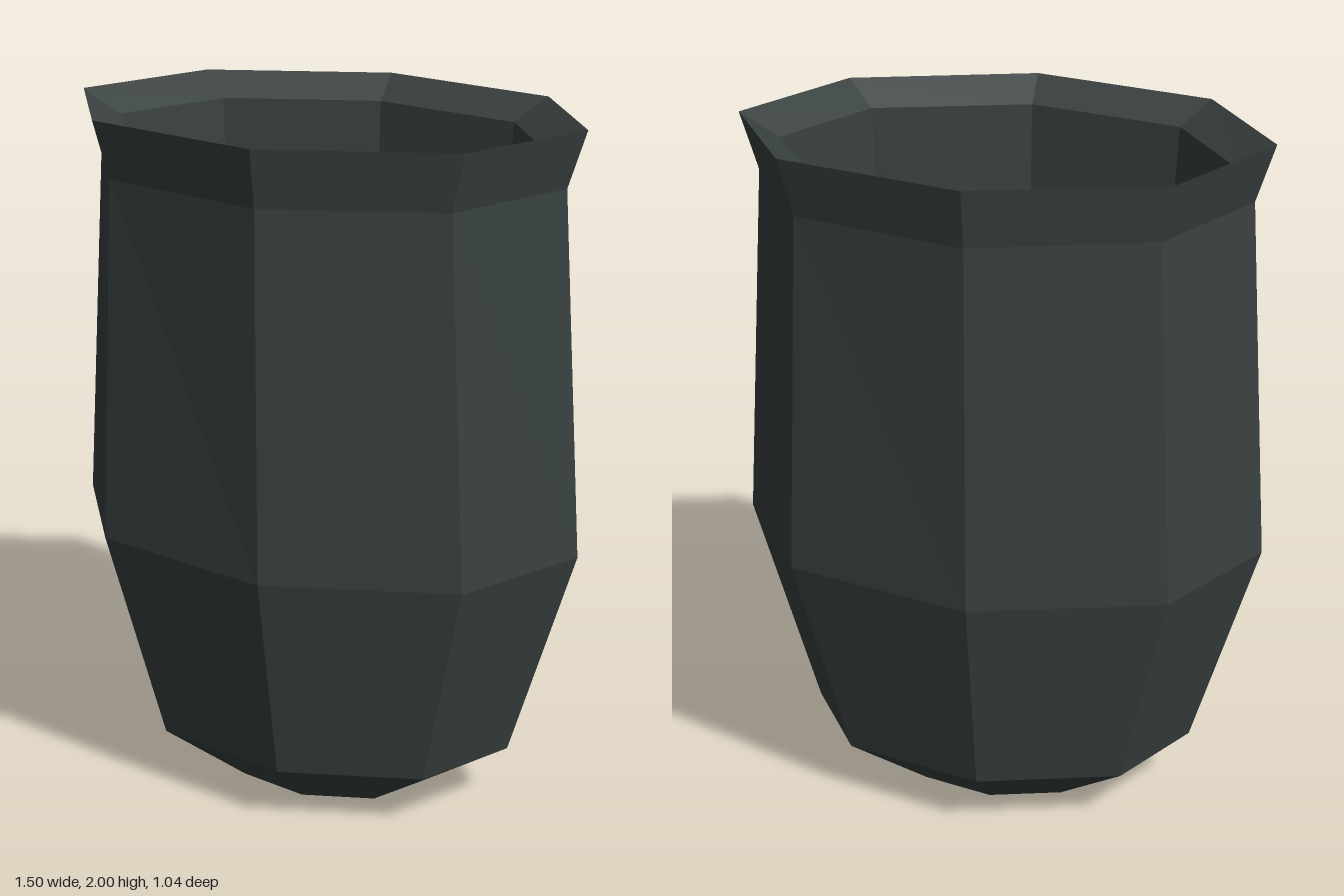
import * as THREE from 'three';

const SIDES = 8;

// Faceted oval shell from rings of [half width x, half depth z, height y]
function ovalShell(name, rings, material) {
  const points = rings.map(([rx, , y]) => new THREE.Vector2(rx, y));
  const lathe = new THREE.LatheGeometry(points, SIDES);
  const pos = lathe.attributes.position;
  for (let i = 0; i < pos.count; i++) {
    const [rx, rz] = rings[i % rings.length];
    pos.setZ(i, rx > 0 ? pos.getZ(i) * rz / rx : 0);
  }
  // Separate the faces so each facet has its own flat normal
  const geometry = lathe.toNonIndexed();
  geometry.computeVertexNormals();
  const mesh = new THREE.Mesh(geometry, material);
  mesh.name = name;
  return mesh;
}

export function createModel() {
  const group = new THREE.Group();
  group.name = 'vase';
  const glaze = new THREE.MeshStandardMaterial({ color: 0x394140 });
  glaze.name = 'dark grey green';

  const foot = [0.29, 0.19, 0];
  const footTop = [0.565, 0.375, 0.17];
  const neck = [0.68, 0.493, 1.84];
  const rim = [0.73, 0.52, 2];
  const lip = [0.62, 0.43, 1.935];
  const floor = [0.5, 0.335, 0.2];

  group.add(
    // Outside, from the underside up
    ovalShell('foot', [[0, 0, 0], foot, footTop], glaze),
    ovalShell('body', [footTop, [0.75, 0.5, 0.8], neck], glaze),
    // Flared collar with a sharp edge that slopes inward
    ovalShell('rim', [neck, rim, lip], glaze),
    // Hollow inside, from the lip down to the floor
    ovalShell('inside', [lip, floor, [0, 0, 0.2]], glaze),
  );
  return group;
}
